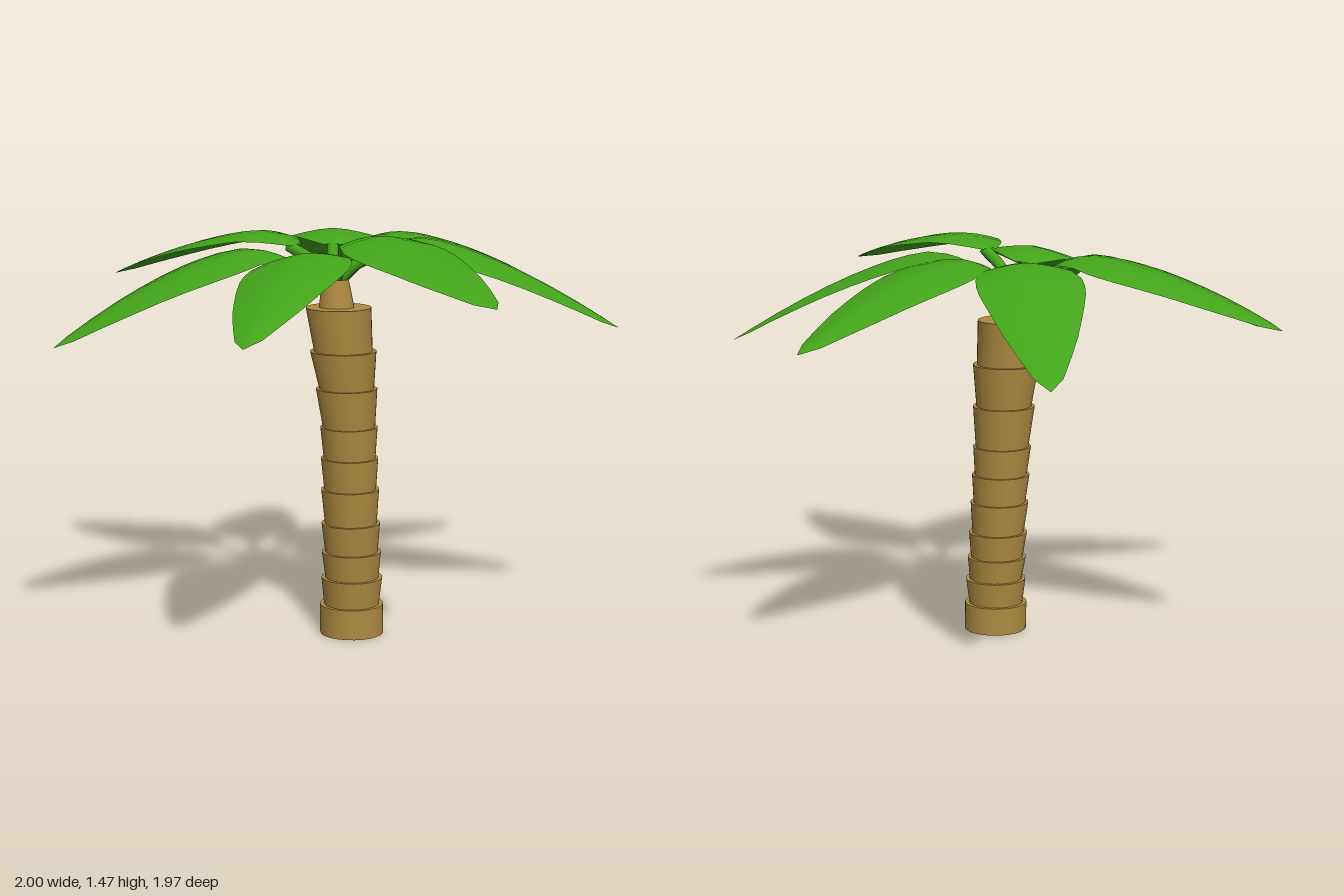
import * as THREE from 'three';

const bark = new THREE.MeshStandardMaterial({ color: 0xaf8a42 });
const green = new THREE.MeshStandardMaterial({ color: 0x43a31a, side: THREE.DoubleSide });

// Trunk rings: [top y, centre x, centre z, bottom radius, top radius]
const rings = [
  [0.105, 0.047, 0.118, 0.115, 0.115],
  [0.2, 0.05, 0.103, 0.1, 0.111],
  [0.29, 0.05, 0.08, 0.097, 0.108],
  [0.39, 0.05, 0.053, 0.096, 0.107],
  [0.51, 0.05, 0.024, 0.095, 0.106],
  [0.62, 0.05, -0.003, 0.095, 0.105],
  [0.73, 0.05, -0.03, 0.095, 0.105],
  [0.875, 0.04, -0.013, 0.096, 0.112],
  [1.02, 0.024, 0.03, 0.1, 0.12],
  [1.18, 0.006, 0.04, 0.106, 0.118],
  [1.28, -0.005, 0.03, 0.065, 0.048],
];

// Leaves: [tip x, tip y, tip z, crest height, sideways roll]
const leaves = [
  [0.07, 1.11, -0.99, 1.43, 0],
  [0.835, 1.18, -0.56, 1.43, 0],
  [0.995, 1.115, 0.176, 1.43, -0.015],
  [0.435, 1.3, 0.98, 1.465, -0.005],
  [-0.375, 1.18, 0.975, 1.41, -0.02],
  [-1, 1.085, 0.29, 1.4, 0.01],
  [-0.8, 1.225, -0.655, 1.435, 0],
];

// Leaf outline: [fraction of length, half width]
const outline = [
  [0, 0.03], [0.05, 0.08], [0.1, 0.117], [0.18, 0.156], [0.26, 0.183], [0.33, 0.187],
  [0.4, 0.182], [0.5, 0.165], [0.6, 0.144], [0.7, 0.121], [0.82, 0.085], [0.93, 0.048], [1, 0.002],
];

const CROWN = new THREE.Vector3(-0.015, 1.25, 0.03);
const STEM = 0.165;

// Slanted cylinder between two ring centres
function trunkRing([x0, y0, z0], [x1, y1, z1], r0, r1) {
  const h = y1 - y0;
  const geo = new THREE.CylinderGeometry(r1, r0, h, 24);
  const p = geo.attributes.position;
  for (let i = 0; i < p.count; i++) {
    const t = p.getY(i) / h + 0.5;
    p.setXYZ(i, p.getX(i) + x0 + (x1 - x0) * t, y0 + h * t, p.getZ(i) + z0 + (z1 - z0) * t);
  }
  return new THREE.Mesh(geo, bark);
}

// Height of the midrib: rises to a crest near the stem, then droops to the tip
function ribHeight(s, crest, tipY) {
  const s0 = 0.18;
  return s < s0
    ? crest - 0.04 * (1 - s / s0) ** 2
    : crest - (crest - tipY) * ((s - s0) / (1 - s0)) ** 1.42;
}

function frond([tx, ty, tz, crest, roll]) {
  const group = new THREE.Group();
  const along = new THREE.Vector3(tx - CROWN.x, 0, tz - CROWN.z);
  const length = along.length() - STEM;
  along.normalize();
  const side = new THREE.Vector3(-along.z, 0, along.x);

  // Blade: a plane bent along the rib and drooping to its edges
  const rows = outline.length - 1;
  const geo = new THREE.PlaneGeometry(2, rows, 6, rows);
  const p = geo.attributes.position;
  const v = new THREE.Vector3();
  for (let i = 0; i < p.count; i++) {
    const across = p.getX(i);
    const [s, w] = outline[Math.round(p.getY(i) + rows / 2)];
    v.copy(CROWN).addScaledVector(along, STEM + s * length).addScaledVector(side, across * w);
    v.y = ribHeight(s, crest, ty) + (roll * across - 0.036 * Math.abs(across) ** 1.5) * (w / 0.19);
    p.setXYZ(i, v.x, v.y, v.z);
  }
  geo.computeVertexNormals();
  const blade = new THREE.Mesh(geo, green);
  blade.name = 'leafBlade';

  // Stem: from the crown up to just under the blade
  const end = CROWN.clone().addScaledVector(along, STEM + 0.03);
  end.y = ribHeight(0.03, crest, ty) - 0.022;
  const mid = CROWN.clone().addScaledVector(along, 0.08);
  mid.y = CROWN.y + (end.y - CROWN.y) * 0.62;
  const path = new THREE.CatmullRomCurve3([CROWN, mid, end]);
  const stem = new THREE.Mesh(new THREE.TubeGeometry(path, 8, 0.021, 8), green);
  stem.name = 'leafStem';

  group.add(blade, stem);
  return group;
}

export function createModel() {
  const model = new THREE.Group();
  model.name = 'palmTree';

  const trunk = new THREE.Group();
  trunk.name = 'trunk';
  let base = [0.047, 0, 0.13];
  rings.forEach(([y, x, z, r0, r1], i) => {
    const neck = i === rings.length - 1;
    if (neck) base = [0, 1.17, 0.032];
    const ring = trunkRing(base, [x, y, z], r0, r1);
    ring.name = neck ? 'trunkNeck' : 'trunkRing' + (i + 1);
    trunk.add(ring);
    base = [x, y, z];
  });

  const crown = new THREE.Group();
  crown.name = 'crown';
  leaves.forEach((leaf, i) => {
    const f = frond(leaf);
    f.name = 'leaf' + (i + 1);
    crown.add(f);
  });

  model.add(trunk, crown);
  return model;
}
